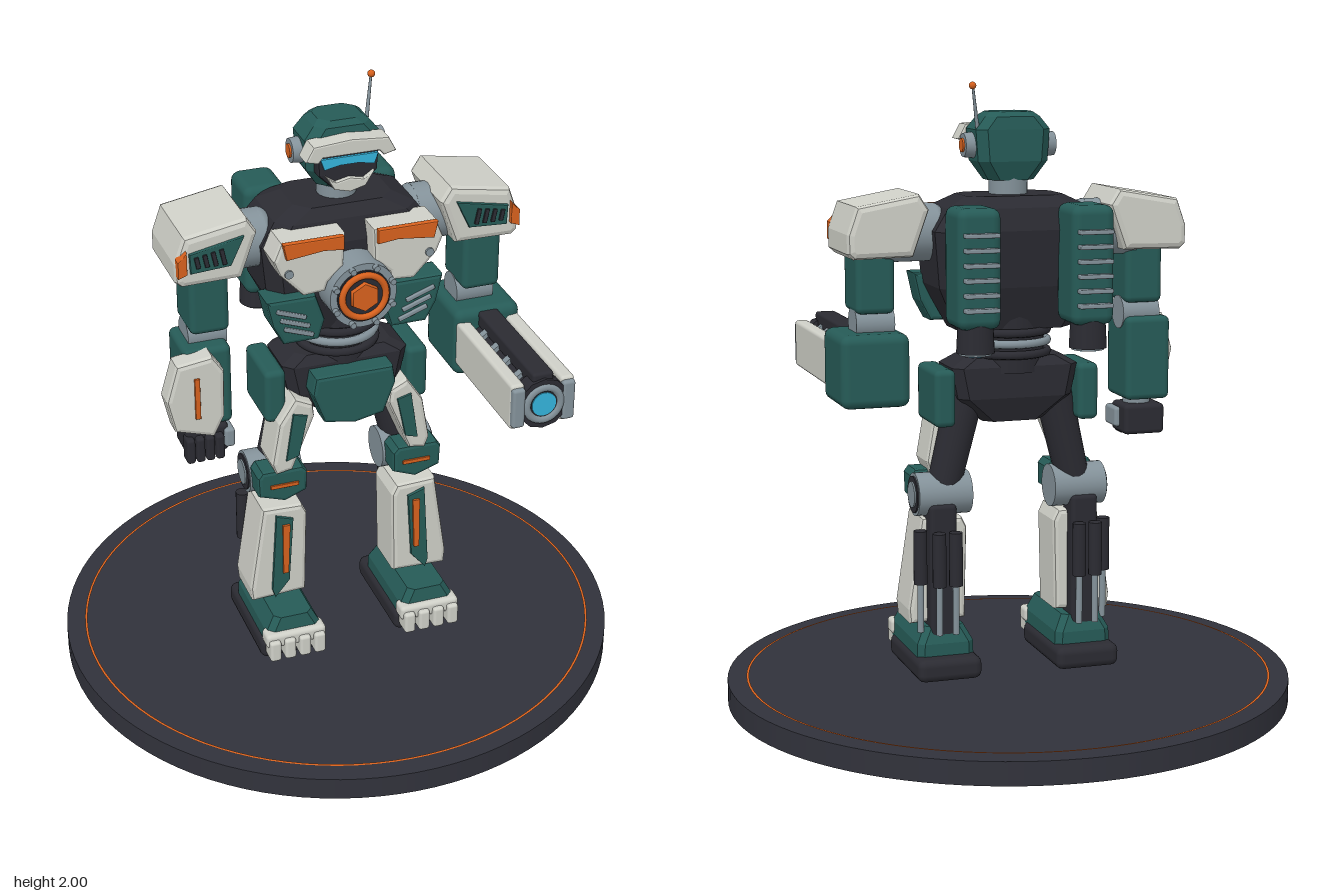
import * as THREE from 'three';
import { RoundedBoxGeometry } from 'three/addons/geometries/RoundedBoxGeometry.js';

const mat = (name, color) => Object.assign(new THREE.MeshStandardMaterial({ color }), { name });
const green = mat('teal armour', 0x265b57), white = mat('pale armour', 0xcfd0c8), dark = mat('dark frame', 0x2b2b32);
const grey = mat('steel', 0x84929a), orange = mat('orange accent', 0xd9621e), blue = mat('blue glow', 0x35b4dc);
const base = mat('base charcoal', 0x31323b);

export function createModel() {
  const root = new THREE.Group();
  root.name = 'robot';
  const add = (name, geo, m, x = 0, y = 0, z = 0) => {
    const mesh = new THREE.Mesh(geo, m);
    mesh.name = name;
    mesh.position.set(x, y, z);
    root.add(mesh);
    return mesh;
  };
  // Rounded box given by its low and high corners
  const box = (name, m, x0, x1, y0, y1, z0, z1, r = 0.015) => {
    const w = Math.abs(x1 - x0), h = y1 - y0, d = z1 - z0;
    return add(name, new RoundedBoxGeometry(w, h, d, 2, Math.min(r, w / 3, h / 3, d / 3)), m, (x0 + x1) / 2, (y0 + y1) / 2, (z0 + z1) / 2);
  };
  // Bevelled plate with a front outline, mirrored by s
  const plate = (name, m, s, pts, z0, z1, b = 0.012) => {
    const shape = new THREE.Shape(pts.map(([x, y]) => new THREE.Vector2(x * s, y)));
    const geo = new THREE.ExtrudeGeometry(shape, {
      depth: z1 - z0 - 2 * b, bevelEnabled: b > 0, bevelThickness: b, bevelSize: b, bevelOffset: -b, bevelSegments: 2
    });
    return add(name, geo, m, 0, 0, z0 + b);
  };
  // Rod between two points
  const rod = (name, m, a, b, r0, r1 = r0, n = 24) => {
    const A = new THREE.Vector3(...a), B = new THREE.Vector3(...b), d = B.clone().sub(A);
    const mesh = add(name, new THREE.CylinderGeometry(r1, r0, d.length(), n), m);
    mesh.position.copy(A).add(B).multiplyScalar(0.5);
    mesh.quaternion.setFromUnitVectors(new THREE.Vector3(0, 1, 0), d.normalize());
    return mesh;
  };
  // Chamfered body from levels [y, half width, back z, front z]
  const loft = (name, m, levels, c, x = 0) => {
    const v = [];
    const rings = levels.map(([y, w, a, b]) => [
      [w, y, b - c], [w - c, y, b], [c - w, y, b], [-w, y, b - c],
      [-w, y, a + c], [c - w, y, a], [w - c, y, a], [w, y, a + c]]);
    for (let k = 0; k + 1 < rings.length; k++) for (let i = 0; i < 8; i++) {
      const j = (i + 1) % 8, lo = rings[k], hi = rings[k + 1];
      v.push(...lo[j], ...lo[i], ...hi[i], ...lo[j], ...hi[i], ...hi[j]);
    }
    const bot = rings[0], top = rings[rings.length - 1];
    for (let i = 1; i < 7; i++) v.push(...top[0], ...top[i + 1], ...top[i], ...bot[0], ...bot[i], ...bot[i + 1]);
    const geo = new THREE.BufferGeometry();
    geo.setAttribute('position', new THREE.Float32BufferAttribute(v, 3));
    geo.computeVertexNormals();
    return add(name, geo, m, x);
  };

  // Display base
  add('base', new THREE.CylinderGeometry(0.92, 0.92, 0.075, 96), base, 0, 0.0375, 0);
  add('baseRing', new THREE.RingGeometry(0.851, 0.859, 96).rotateX(-Math.PI / 2), orange, 0, 0.079, 0);

  // Pelvis, skirt and waist
  loft('pelvis', dark, [[0.92, 0.1, -0.07, 0.09], [1.0, 0.19, -0.1, 0.11], [1.1, 0.21, -0.1, 0.11], [1.13, 0.16, -0.08, 0.09]], 0.03);
  plate('frontSkirt', green, 1, [[-0.13, 1.09], [0.13, 1.09], [0.14, 1.03], [0.1, 0.925], [0, 0.905], [-0.1, 0.925], [-0.14, 1.03]], 0.09, 0.18);
  rod('waist', dark, [0, 1.08, 0], [0, 1.28, 0], 0.115);
  [1.14, 1.175, 1.21].forEach((y, i) =>
    add('waistRing', new THREE.TorusGeometry(0.125, 0.014, 8, 40).rotateX(Math.PI / 2), i === 1 ? grey : dark, 0, y, 0));

  // Torso and chest core
  loft('torso', dark, [[1.22, 0.19, -0.1, 0.1], [1.36, 0.26, -0.15, 0.14], [1.54, 0.28, -0.17, 0.15],
    [1.61, 0.23, -0.15, 0.13], [1.645, 0.16, -0.11, 0.1]], 0.045);
  rod('coreHousing', grey, [0, 1.4, 0.1], [0, 1.4, 0.25], 0.112, 0.108, 40);
  rod('coreWell', dark, [0, 1.4, 0.249], [0, 1.4, 0.256], 0.086, 0.086, 40);
  add('coreRing', new THREE.TorusGeometry(0.071, 0.011, 8, 40), orange, 0, 1.4, 0.256);
  rod('coreHexagon', orange, [0, 1.4, 0.25], [0, 1.4, 0.268], 0.052, 0.046, 6);
  for (let i = 0; i < 8; i++) {
    const a = (i + 0.5) * Math.PI / 4, x = 0.099 * Math.cos(a), y = 1.4 + 0.099 * Math.sin(a);
    rod('coreBolt', grey, [x, y, 0.245], [x, y, 0.268], 0.01, 0.01, 10);
  }

  // Neck and head
  rod('neck', grey, [0, 1.62, 0], [0, 1.72, 0], 0.062);
  loft('helmet', green, [[1.69, 0.075, -0.06, 0.06], [1.75, 0.115, -0.08, 0.08], [1.85, 0.122, -0.08, 0.088],
    [1.89, 0.09, -0.075, 0.08], [1.905, 0.07, -0.06, 0.06]], 0.03);
  plate('face', dark, 1, [[-0.1, 1.82], [0.1, 1.82], [0.095, 1.75], [0.05, 1.705], [-0.05, 1.705], [-0.095, 1.75]], 0.05, 0.115);
  plate('visor', blue, 1, [[-0.092, 1.81], [0.092, 1.81], [0.08, 1.775], [0.03, 1.785], [-0.03, 1.785], [-0.08, 1.775]], 0.114, 0.123, 0);
  plate('chinGuard', white, 1, [[-0.078, 1.755], [-0.045, 1.732], [0, 1.742], [0.045, 1.732], [0.078, 1.755],
    [0.05, 1.708], [0, 1.695], [-0.05, 1.708]], 0.08, 0.13, 0.005);
  plate('brow', white, 1, [[-0.145, 1.815], [-0.12, 1.862], [0, 1.872], [0.12, 1.862], [0.145, 1.815], [0.105, 1.805],
    [0.09, 1.822], [-0.09, 1.822], [-0.105, 1.805]], 0.07, 0.14, 0.006);
  rod('antenna', grey, [0.11, 1.83, -0.035], [0.135, 1.985, -0.06], 0.007, 0.004, 10);
  add('antennaTip', new THREE.SphereGeometry(0.012, 12, 8), orange, 0.136, 1.988, -0.06);

  for (const s of [1, -1]) {
    // Ears
    rod('ear', grey, [s * 0.1, 1.8, 0], [s * 0.15, 1.8, 0], 0.043, 0.038);
    rod('earCap', orange, [s * 0.15, 1.8, 0], [s * 0.156, 1.8, 0], 0.022);

    // Chest armour, abdominal vents
    plate('chestPlate', white, s, [[0.045, 1.6], [0.25, 1.6], [0.275, 1.54], [0.255, 1.49], [0.18, 1.41], [0.11, 1.415],
      [0.1, 1.445], [0.05, 1.49]], 0.1, 0.215);
    plate('chestStripe', orange, s, [[0.055, 1.555], [0.055, 1.602], [0.25, 1.602], [0.238, 1.548], [0.12, 1.562]], 0.21, 0.232, 0.004);
    rod('chestBolt', grey, [s * 0.228, 1.495, 0.2], [s * 0.228, 1.495, 0.222], 0.014, 0.014, 12);
    plate('flankPlate', green, s, [[0.29, 1.39], [0.13, 1.39], [0.1, 1.3], [0.12, 1.235], [0.235, 1.235], [0.27, 1.3]], 0.08, 0.185);
    for (let i = 0; i < 3; i++) {
      const x = 0.212 - i * 0.012, y = 1.34 - i * 0.032;
      box('flankVent', grey, s * (x - 0.05), s * (x + 0.05), y - 0.007, y + 0.007, 0.18, 0.194, 0.003).rotation.z = s * 0.35;
    }

    // Backpack, cooling fins and thruster
    box('backpack', green, s * 0.115, s * 0.255, 1.25, 1.625, -0.3, -0.13, 0.03);
    for (let i = 0; i < 6; i++)
      box('coolingFin', grey, s * 0.13, s * 0.24, 1.307 + i * 0.046, 1.321 + i * 0.046, -0.325, -0.29, 0.004);
    rod('thruster', dark, [s * 0.185, 1.175, -0.24], [s * 0.185, 1.27, -0.24], 0.06, 0.055);
    rod('thrusterRim', grey, [s * 0.185, 1.169, -0.24], [s * 0.185, 1.176, -0.24], 0.052);
    rod('thrusterGlow', blue, [s * 0.185, 1.166, -0.24], [s * 0.185, 1.17, -0.24], 0.038);

    // Shoulder
    rod('shoulderJoint', grey, [s * 0.25, 1.53, 0], [s * 0.42, 1.53, 0], 0.092);
    add('shoulderBall', new THREE.SphereGeometry(0.092, 24, 16).scale(0.55, 1, 1), grey, s * 0.255, 1.53, 0);
    plate('pauldron', white, s, [[0.53, 1.625], [0.33, 1.66], [0.298, 1.61], [0.35, 1.465], [0.54, 1.462], [0.56, 1.48], [0.56, 1.54]], -0.14, 0.14, 0.02);
    plate('pauldronPanel', green, s, [[0.518, 1.577], [0.345, 1.612], [0.388, 1.52], [0.515, 1.512]], 0.13, 0.152, 0.004);
    plate('pauldronStripe', orange, s, [[0.556, 1.558], [0.527, 1.588], [0.527, 1.514], [0.556, 1.503]], 0.12, 0.156, 0.003);
    for (let i = 0; i < 4; i++)
      box('pauldronSlit', dark, s * (0.407 + i * 0.027), s * (0.421 + i * 0.027), 1.53, 1.583 - i * 0.005, 0.15, 0.158, 0.002).rotation.z = -s * 0.2;

    // Upper arm and elbow
    box('upperArm', green, s * 0.387, s * 0.513, 1.28, 1.48, -0.05, 0.118, 0.02);
    rod('elbow', grey, [s * 0.385, 1.245, 0.02], [s * 0.51, 1.245, 0.02], 0.055);

    // Hip and thigh
    box('hipGuard', green, s * 0.205, s * 0.275, 0.915, 1.1, -0.105, 0.112, 0.02);
    rod('thighFrame', dark, [s * 0.15, 1.0, -0.01], [s * 0.225, 0.69, -0.005], 0.062, 0.055, 16);
    plate('thighArmour', white, s, [[0.19, 1.015], [0.13, 0.985], [0.125, 0.94], [0.2, 0.755], [0.255, 0.745], [0.27, 0.785], [0.245, 0.93]], 0.01, 0.155, 0.015);
    plate('thighPanel', green, s, [[0.2, 0.965], [0.152, 0.952], [0.182, 0.81], [0.225, 0.797]], 0.15, 0.163, 0.003);

    // Knee
    rod('kneeWheel', grey, [s * 0.14, 0.685, 0], [s * 0.318, 0.685, 0], 0.07);
    rod('kneeRing', dark, [s * 0.318, 0.685, 0], [s * 0.323, 0.685, 0], 0.06);
    rod('kneeHub', grey, [s * 0.322, 0.685, 0], [s * 0.328, 0.685, 0], 0.042);
    plate('kneeGuard', green, s, [[0.3, 0.755], [0.165, 0.755], [0.148, 0.735], [0.15, 0.665], [0.225, 0.635], [0.312, 0.665], [0.315, 0.735]], 0.05, 0.145);
    box('kneeStripe', orange, s * 0.18, s * 0.275, 0.692, 0.706, 0.143, 0.151, 0.002);

    // Shin and rear pistons
    plate('shinArmour', white, s, [[0.3, 0.61], [0.165, 0.605], [0.148, 0.57], [0.155, 0.27], [0.34, 0.262], [0.345, 0.31]], -0.03, 0.14, 0.015);
    plate('shinPanel', green, s, [[0.258, 0.585], [0.2, 0.565], [0.215, 0.33], [0.265, 0.27], [0.275, 0.3]], 0.135, 0.151, 0.003);
    plate('shinStripe', orange, s, [[0.238, 0.55], [0.214, 0.55], [0.221, 0.365], [0.239, 0.365]], 0.15, 0.159, 0);
    box('shinFrame', dark, s * 0.195, s * 0.285, 0.22, 0.66, -0.075, 0.02);
    for (const [x, z] of [[0.312, -0.048], [0.265, -0.105], [0.21, -0.105]]) {
      rod('piston', dark, [s * x, 0.4, z], [s * x, 0.575, z], 0.022, 0.022, 16);
      rod('pistonRod', grey, [s * x, 0.24, z], [s * x, 0.41, z], 0.011, 0.011, 12);
    }

    // Foot
    box('sole', dark, s * 0.128, s * 0.342, 0.09, 0.165, -0.135, 0.235, 0.025);
    loft('foot', green, [[0.155, 0.095, -0.085, 0.26], [0.205, 0.093, -0.085, 0.26], [0.258, 0.065, -0.065, 0.25]], 0.02, s * 0.235);
    box('toeCap', white, s * 0.132, s * 0.338, 0.16, 0.212, 0.215, 0.28);
    for (let i = 0; i < 4; i++)
      box('toe', white, s * (0.14 + i * 0.051), s * (0.178 + i * 0.051), 0.12, 0.195, 0.23, 0.297, 0.01);
  }

  // Right forearm and fist
  box('rightForearm', green, -0.54, -0.388, 0.96, 1.235, -0.06, 0.13, 0.02);
  plate('forearmShield', white, -1, [[0.58, 1.22], [0.465, 1.235], [0.428, 1.18], [0.43, 1.02], [0.465, 0.95], [0.59, 0.99], [0.615, 1.1]], 0.1, 0.185, 0.015);
  box('forearmStripe', orange, -0.527, -0.51, 1.03, 1.172, 0.183, 0.192, 0.002);
  rod('wrist', grey, [-0.46, 0.9, 0.04], [-0.46, 0.98, 0.04], 0.045);
  box('fist', dark, -0.535, -0.395, 0.84, 0.94, -0.03, 0.1);
  for (let i = 0; i < 4; i++)
    box('finger', dark, -0.54 + i * 0.032, -0.512 + i * 0.032, 0.828, 0.915, 0.07, 0.125, 0.01);
  box('thumb', grey, -0.412, -0.378, 0.86, 0.925, 0.02, 0.115, 0.01);

  // Left arm cannon
  const cx = 0.465, cy = 1.11;
  box('cannonHousing', green, 0.352, 0.576, 0.988, 1.222, -0.105, 0.152, 0.03);
  for (const s of [1, -1]) {
    box('cannonRail', white, cx + s * 0.06, cx + s * 0.106, 1.03, 1.185, 0.12, 0.575, 0.012);
    box('railTip', grey, cx + s * 0.062, cx + s * 0.104, 1.04, 1.175, 0.56, 0.59, 0.01);
  }
  rod('barrel', dark, [cx, cy, 0.12], [cx, cy, 0.55], 0.062);
  for (let i = 0; i < 4; i++)
    rod('barrelBand', grey, [cx, cy, 0.2 + i * 0.09], [cx, cy, 0.225 + i * 0.09], 0.077);
  box('topRail', dark, cx - 0.035, cx + 0.035, 1.16, 1.212, 0.12, 0.575, 0.01);
  rod('muzzle', dark, [cx, cy, 0.53], [cx, cy, 0.585], 0.085, 0.085, 12);
  add('muzzleRing', new THREE.TorusGeometry(0.056, 0.014, 8, 32), grey, cx, cy, 0.58);
  rod('muzzleGlow', blue, [cx, cy, 0.58], [cx, cy, 0.588], 0.04);

  return root;
}
